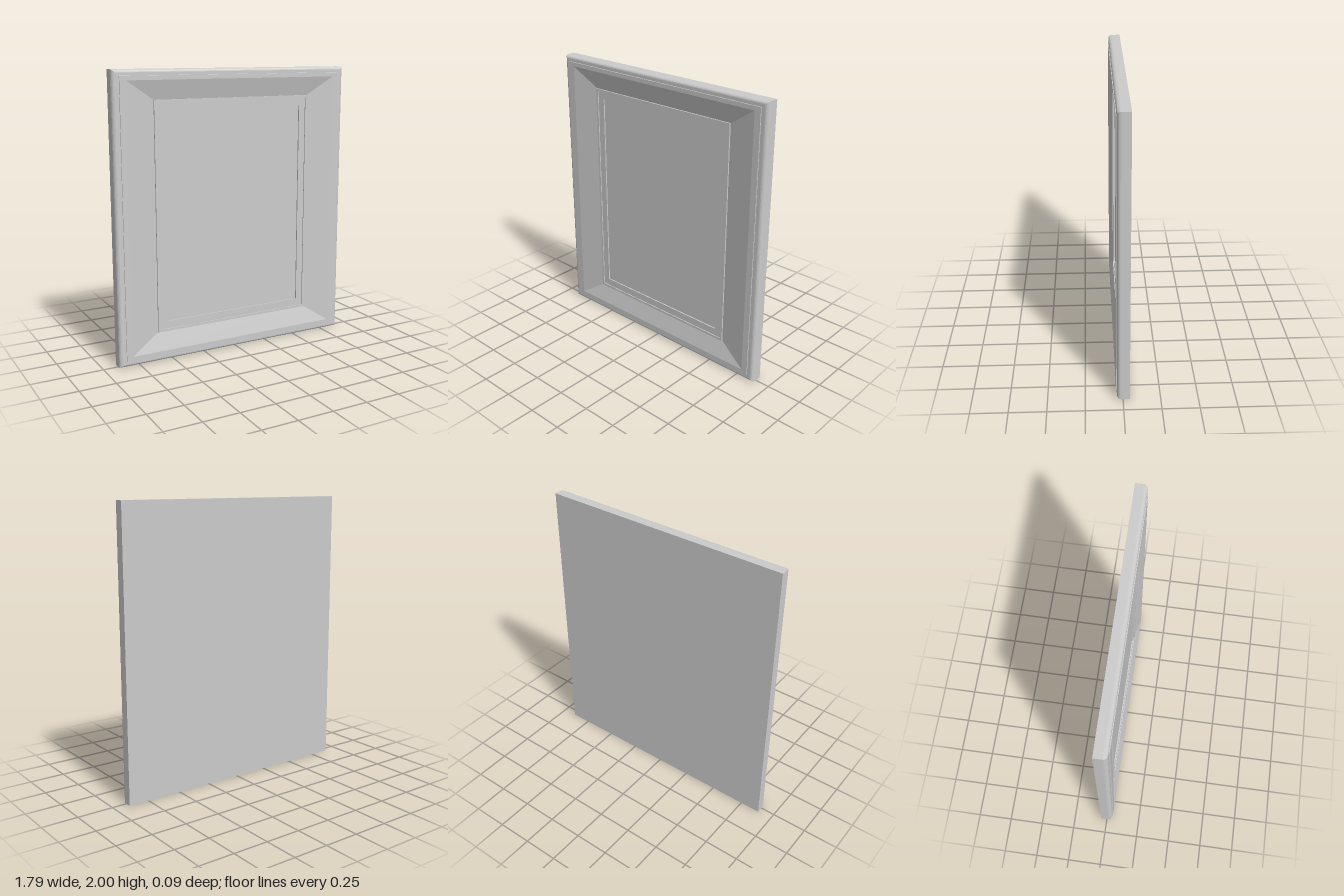
import * as THREE from 'three';

const material = new THREE.MeshStandardMaterial({ color: 0xcccccc });
const CENTER_Y = 1;

// Joins successive rectangles [halfWidth, halfHeight, z] with mitred flat strips
function rectLoft(name, rings, capped = false) {
  const corners = ([w, h, z]) => [
    [-w, CENTER_Y - h, z], [w, CENTER_Y - h, z],
    [w, CENTER_Y + h, z], [-w, CENTER_Y + h, z],
  ];
  const pos = [];
  const quad = (a, b, c, d) => pos.push(...a, ...b, ...c, ...a, ...c, ...d);
  for (let r = 0; r < rings.length - 1; r++) {
    const outer = corners(rings[r]);
    const inner = corners(rings[r + 1]);
    for (let i = 0; i < 4; i++) {
      const j = (i + 1) % 4;
      quad(outer[i], outer[j], inner[j], inner[i]);
    }
  }
  if (capped) quad(...corners(rings[rings.length - 1]));
  const geometry = new THREE.BufferGeometry();
  geometry.setAttribute('position', new THREE.Float32BufferAttribute(pos, 3));
  geometry.computeVertexNormals();
  const mesh = new THREE.Mesh(geometry, material);
  mesh.name = name;
  return mesh;
}

export function createModel() {
  const group = new THREE.Group();
  group.name = 'panelledDoor';

  // Straight outer sides, then a softly rounded front edge
  const edge = [[0.895, 1, -0.045], [0.895, 1, 0.012]];
  const steps = 5;
  for (let i = 1; i <= steps; i++) {
    const t = (i / steps) * Math.PI * 0.5;
    const inset = 1 - Math.cos(t);
    edge.push([0.895 - 0.026 * inset, 1 - 0.02 * inset, 0.012 + 0.028 * Math.sin(t)]);
  }
  group.add(rectLoft('outerEdge', edge));

  // Narrow lip, small step, flat rim and the slope towards the panel
  group.add(rectLoft('frame', [
    [0.869, 0.98, 0.04],
    [0.846, 0.96, 0.04],
    [0.845, 0.959, 0.045],
    [0.8, 0.93, 0.045],
    [0.6, 0.8, 0.01],
  ]));

  // Raised bead around the panel
  group.add(rectLoft('bead', [
    [0.6, 0.8, 0.01],
    [0.6, 0.8, 0.02],
    [0.583, 0.783, 0.02],
    [0.583, 0.783, 0.013],
  ]));

  // Flat border and the recessed centre
  group.add(rectLoft('centrePanel', [
    [0.583, 0.783, 0.013],
    [0.533, 0.73, 0.013],
    [0.533, 0.73, 0.004],
  ], true));

  // Plain back
  const back = new THREE.Mesh(new THREE.PlaneGeometry(1.79, 2), material);
  back.name = 'back';
  back.rotation.y = Math.PI;
  back.position.set(0, CENTER_Y, -0.045);
  group.add(back);

  return group;
}
